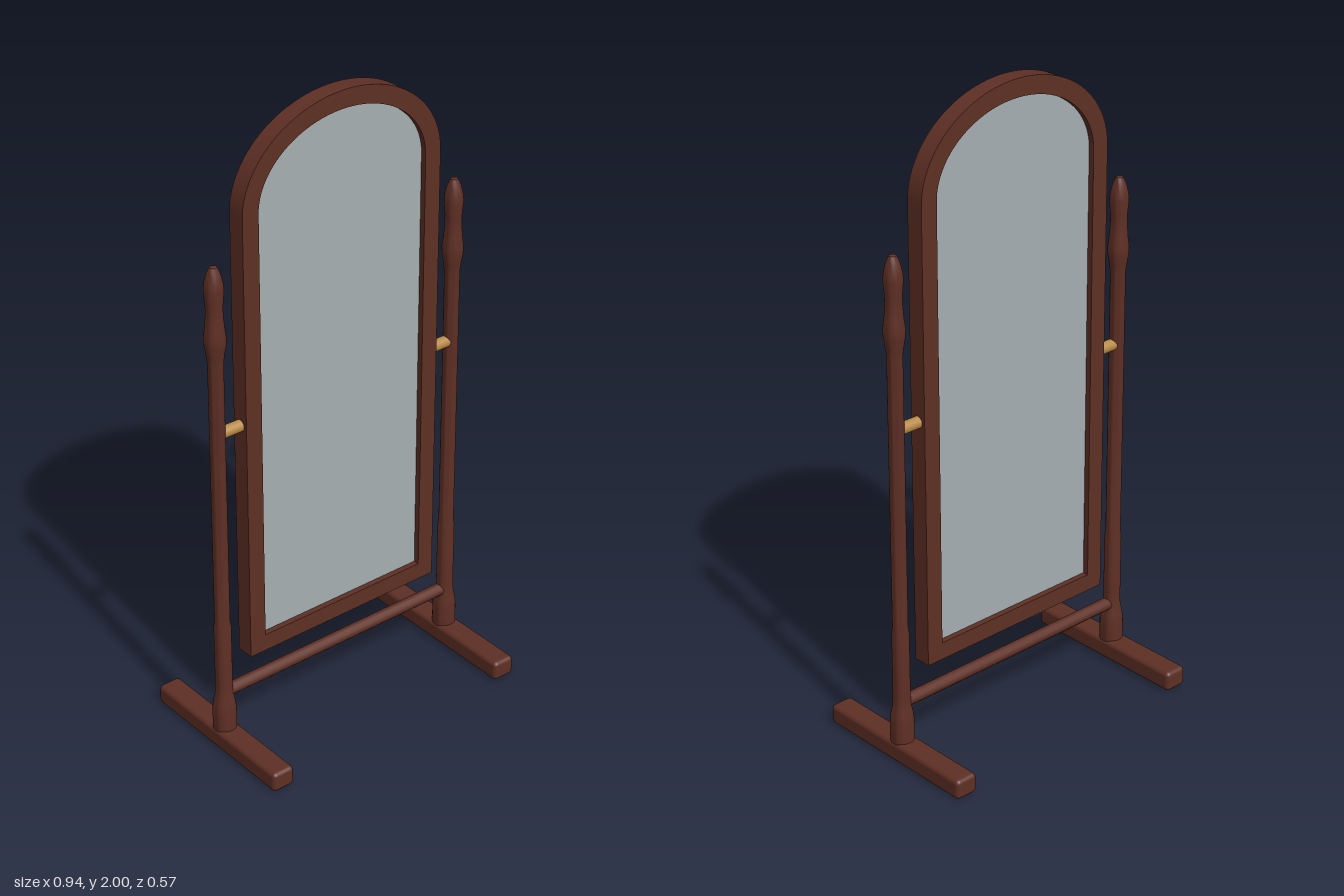
import * as THREE from 'three';
import { toCreasedNormals } from 'three/addons/utils/BufferGeometryUtils.js';
import { RoundedBoxGeometry } from 'three/addons/geometries/RoundedBoxGeometry.js';

const material = (name, color) => {
  const m = new THREE.MeshStandardMaterial({ color });
  m.name = name;
  return m;
};

// Arched outline: straight sides with an elliptical top
function archOutline(Type, halfWidth, bottom, spring, top) {
  const p = new Type();
  p.moveTo(-halfWidth, bottom);
  p.lineTo(halfWidth, bottom);
  p.lineTo(halfWidth, spring);
  p.absellipse(0, spring, halfWidth, top - spring, 0, Math.PI, false, 0);
  p.lineTo(-halfWidth, bottom);
  return p;
}

function extrudeCentred(shape, depth) {
  const g = new THREE.ExtrudeGeometry(shape, { depth, bevelEnabled: false, curveSegments: 40 });
  g.translate(0, 0, -depth / 2);
  return toCreasedNormals(g, 0.5);
}

export function createModel() {
  const model = new THREE.Group();
  model.name = 'standingMirror';

  const wood = material('dark wood', 0x5e2f24);
  const glass = material('mirror glass', 0xa6afb2);
  const brass = material('brass', 0xb88a48);

  const add = (name, geometry, mat, x = 0, y = 0, z = 0) => {
    const mesh = new THREE.Mesh(geometry, mat);
    mesh.name = name;
    mesh.position.set(x, y, z);
    model.add(mesh);
    return mesh;
  };

  // Arched frame with an opening
  const frame = archOutline(THREE.Shape, 0.35, 0.29, 1.72, 2.0);
  frame.holes.push(archOutline(THREE.Path, 0.295, 0.345, 1.72, 1.945));
  add('mirrorFrame', extrudeCentred(frame, 0.057), wood);

  // Glass pane, tucked slightly into the frame
  const pane = archOutline(THREE.Shape, 0.3, 0.34, 1.72, 1.95);
  add('mirrorPane', extrudeCentred(pane, 0.02), glass);

  // Turned post: base, shaft, bulb and finial
  const profile = [
    [0, 0.06], [0.036, 0.06], [0.036, 0.13], [0.033, 0.155], [0.027, 0.185], [0.026, 0.22],
    [0.026, 0.42], [0.023, 0.44], [0.023, 1.3], [0.026, 1.325], [0.031, 1.355], [0.032, 1.38],
    [0.028, 1.41], [0.025, 1.45], [0.025, 1.48], [0.029, 1.525], [0.027, 1.545],
    [0.02, 1.575], [0.011, 1.595], [0, 1.6],
  ].map(([r, y]) => new THREE.Vector2(r, y));
  const postGeometry = toCreasedNormals(new THREE.LatheGeometry(profile, 24), 0.7);
  const footGeometry = new RoundedBoxGeometry(0.075, 0.064, 0.57, 3, 0.014);
  const pivotGeometry = new THREE.CylinderGeometry(0.018, 0.018, 0.08, 20).rotateZ(Math.PI / 2);

  for (const [side, s] of [['left', 1], ['right', -1]]) {
    add(side + 'Post', postGeometry, wood, 0.43 * s);
    add(side + 'Foot', footGeometry, wood, 0.43 * s, 0.032);
    add(side + 'Pivot', pivotGeometry, brass, 0.38 * s, 1.07);
  }

  // Stretcher bar between the posts
  add('stretcher', new THREE.CylinderGeometry(0.02, 0.02, 0.84, 12).rotateZ(Math.PI / 2), wood, 0, 0.187);

  return model;
}
